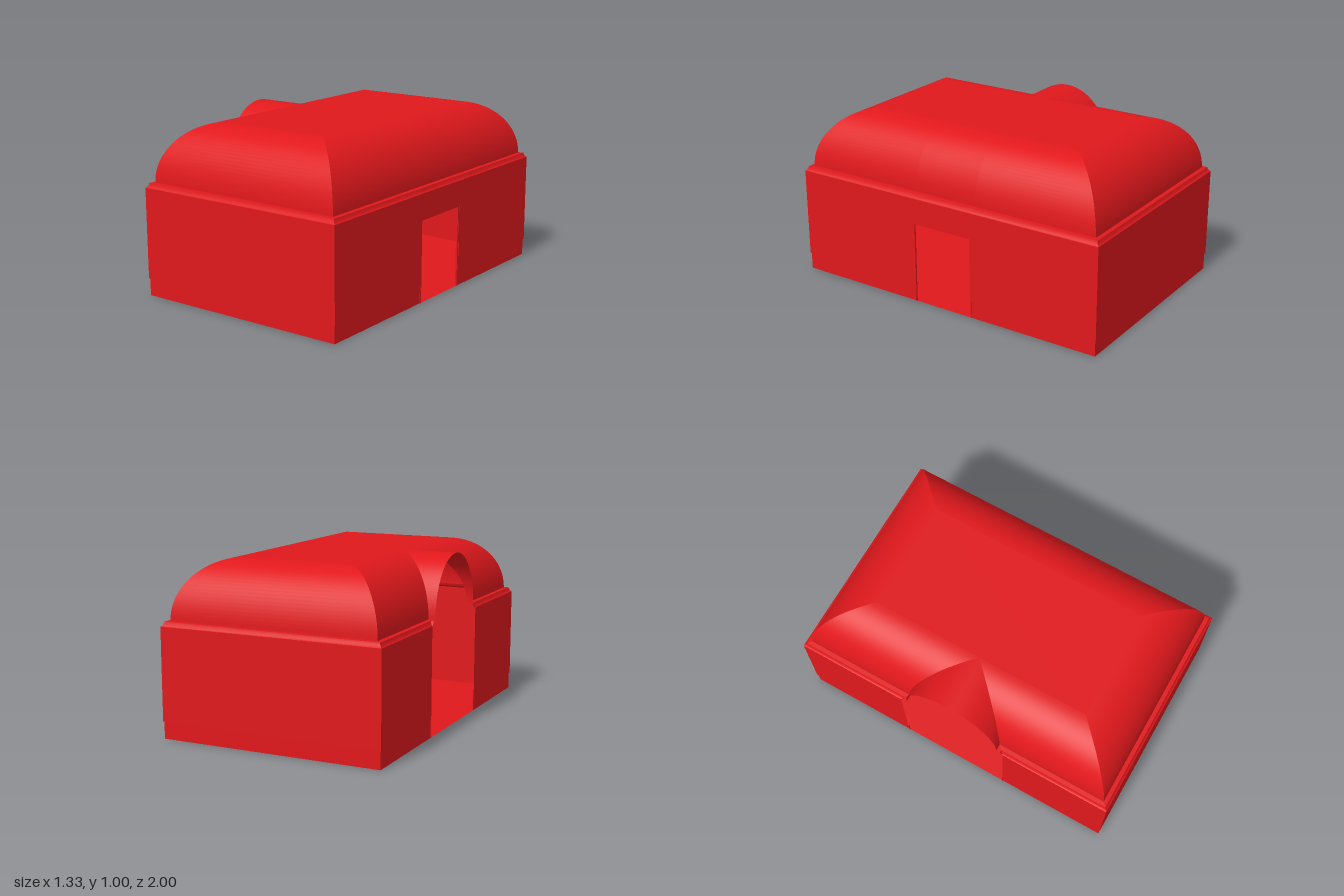
import * as THREE from 'three';
import { mergeGeometries } from 'three/addons/utils/BufferGeometryUtils.js';

const HX = 0.665, HZ = 1;          // half width and half length of the walls
const ARCH = 0.335;                // half width of the arched opening, also the full inset of the vault
const DOOR_W = 0.2, DOOR_H = 0.49; // half width and height of the doorway

const material = new THREE.MeshStandardMaterial({ color: 0xe0181c, side: THREE.DoubleSide });

// Plan of the room inset by d: arch side, around the outside, back to the arch
function plan(d) {
  const x = HX - d, z = HZ - d, a = ARCH - d;
  return [
    [-HX, a], [-x, a], [-x, z], [x, z],
    [x, DOOR_W], [x, -DOOR_W],
    [x, -z], [-x, -z], [-x, -a], [-HX, -a],
  ];
}
const DOOR_SEGMENT = 4;

// Sweep a profile of [inset, height] points around the plan, one smooth strip per side
function sweep(profile, skipDoor = false) {
  const rings = profile.map(([d]) => plan(d));
  const strips = [];
  for (let s = 0; s < rings[0].length - 1; s++) {
    if (skipDoor && s === DOOR_SEGMENT) continue;
    const length = Math.max(...rings.map((r) => Math.hypot(r[s + 1][0] - r[s][0], r[s + 1][1] - r[s][1])));
    if (length < 1e-6) continue;
    const positions = [], index = [];
    rings.forEach((ring, i) => {
      for (const p of [ring[s], ring[s + 1]]) positions.push(p[0], profile[i][1], p[1]);
      if (i > 0) {
        const a = 2 * (i - 1);
        index.push(a, a + 1, a + 3, a, a + 3, a + 2);
      }
    });
    const g = new THREE.BufferGeometry();
    g.setAttribute('position', new THREE.Float32BufferAttribute(positions, 3));
    g.setIndex(index);
    g.computeVertexNormals();
    strips.push(g);
  }
  return mergeGeometries(strips);
}

export function createModel() {
  const group = new THREE.Group();
  const add = (name, geometry) => {
    const mesh = new THREE.Mesh(geometry, material);
    mesh.name = name;
    group.add(mesh);
    return mesh;
  };

  // Floor
  const floor = add('floor', new THREE.PlaneGeometry(2 * HX - 0.01, 2 * HZ - 0.01));
  floor.rotation.x = Math.PI / 2;

  // Baseboard, its small ledge and the walls, all open at the doorway
  add('baseboard', sweep([[0.005, 0], [0.005, 0.1]], true));
  add('baseboardLedge', sweep([[0.005, 0.1], [0, 0.1]], true));
  add('lowerWall', sweep([[0, 0.1], [0, DOOR_H]], true));
  add('upperWall', sweep([[0, DOOR_H], [0, 0.635]]));

  // Cornice: a rounded edge and a flat shelf
  add('cornice', sweep([[0, 0.635], [0.006, 0.639], [0.012, 0.648], [0.016, 0.661]]));
  add('corniceShelf', sweep([[0.016, 0.661], [0.04, 0.663]]));

  // Coved vault with the barrel of the arch cutting into one side
  const vault = [];
  const steps = 24;
  for (let i = 0; i <= steps; i++) {
    const t = (i / steps) * Math.PI / 2;
    vault.push([0.04 + (ARCH - 0.04) * (1 - Math.cos(t)), 0.663 + 0.337 * Math.sin(t)]);
  }
  add('vault', sweep(vault));

  // Flat middle of the vault
  const ceiling = add('ceiling', new THREE.PlaneGeometry(2 * (HX - ARCH), 2 * (HZ - ARCH)));
  ceiling.rotation.x = -Math.PI / 2;
  ceiling.position.y = 1;

  // Thin frame lining the doorway
  const w = DOOR_W, h = DOOR_H, t = 0.01;
  const frame = new THREE.Shape([
    [-w, 0], [-w + t, 0], [-w + t, h - t], [w - t, h - t], [w - t, 0], [w, 0], [w, h], [-w, h],
  ].map(([x, y]) => new THREE.Vector2(x, y)));
  const doorFrame = add('doorFrame', new THREE.ExtrudeGeometry(frame, { depth: 0.01, bevelEnabled: false }));
  doorFrame.rotation.y = Math.PI / 2;
  doorFrame.position.x = HX - 0.012;

  return group;
}
